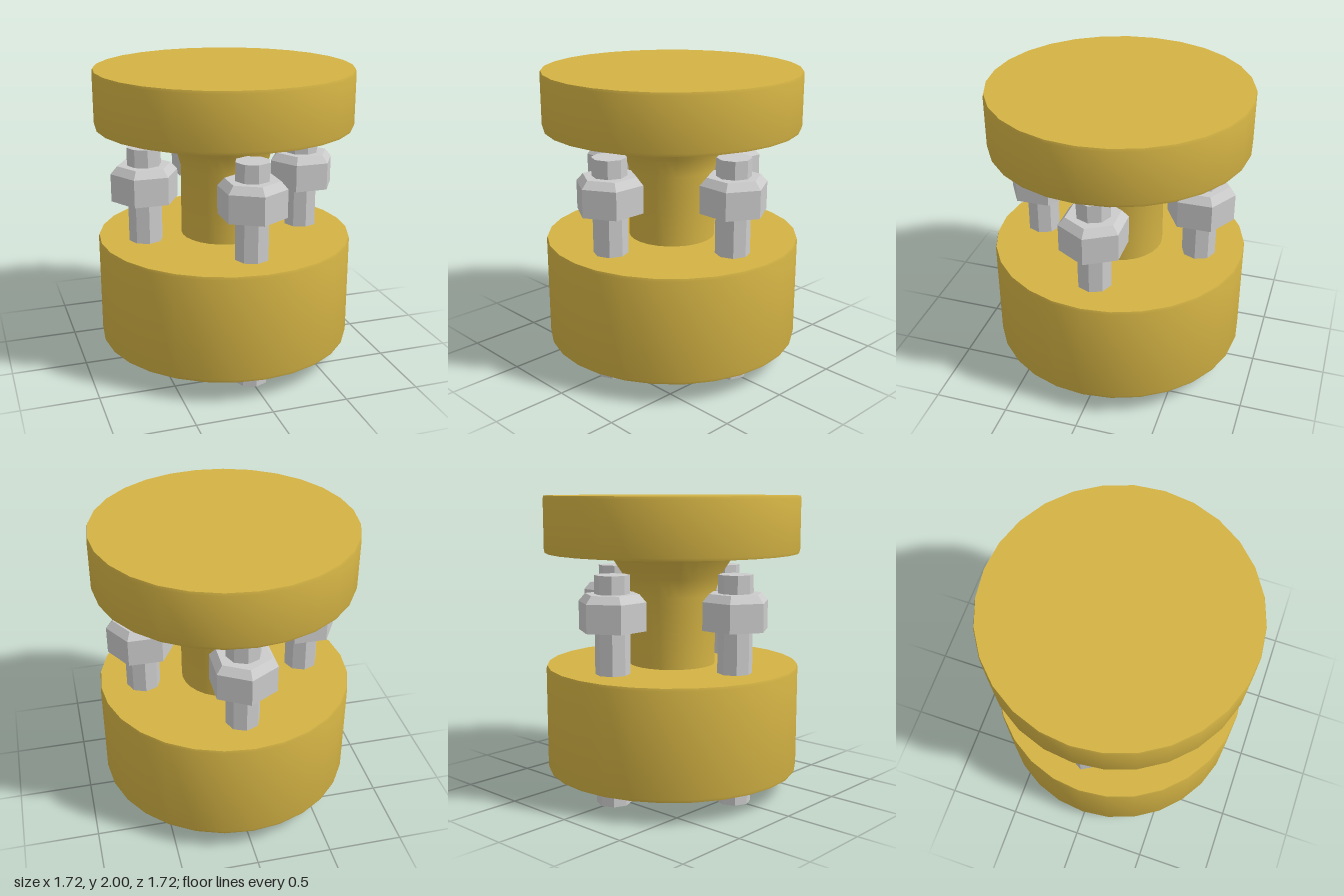
import * as THREE from 'three';
import { toCreasedNormals } from 'three/addons/utils/BufferGeometryUtils.js';

const SEGMENTS = 28;

export function createModel() {
  const model = new THREE.Group();
  const brass = new THREE.MeshStandardMaterial({ color: 0xd4b344 });
  const steel = new THREE.MeshStandardMaterial({ color: 0xcccccc, flatShading: true });

  // Round part turned from a radius/height profile, listed bottom to top
  function turned(name, profile) {
    const points = profile.map(([r, y]) => new THREE.Vector2(r, y));
    const geometry = toCreasedNormals(new THREE.LatheGeometry(points, SEGMENTS), 0.6);
    const mesh = new THREE.Mesh(geometry, brass);
    mesh.name = name;
    model.add(mesh);
  }

  // Solid disc with slightly eased rims
  function disc(name, radius, bottom, top) {
    const inset = 0.005, ease = 0.018;
    turned(name, [
      [0, bottom], [radius - inset, bottom], [radius, bottom + ease],
      [radius, top - ease], [radius - inset, top], [0, top],
    ]);
  }

  disc('baseDisc', 0.86, 0.15, 0.865);
  disc('topDisc', 0.86, 1.625, 2);
  turned('flaredNeck', [[0.293, 0.86], [0.293, 1.34], [0.325, 1.46], [0.437, 1.63]]);

  // Faceted steel piece between two heights
  function prism(name, topRadius, bottomRadius, bottom, top, sides, openBottom = false) {
    const geometry = new THREE.CylinderGeometry(topRadius, bottomRadius, top - bottom, sides, 1, openBottom);
    const mesh = new THREE.Mesh(geometry, steel);
    mesh.name = name;
    mesh.position.y = (bottom + top) / 2;
    return mesh;
  }

  // Four bolts through the base, each with a chamfered hex nut, one corner facing outward
  const bolts = new THREE.Group();
  bolts.name = 'bolts';
  bolts.position.x = 0.006;
  for (let i = 0; i < 4; i++) {
    const angle = i * Math.PI / 2;
    const bolt = new THREE.Group();
    bolt.name = `bolt${i + 1}`;
    bolt.add(
      prism('boltShaft', 0.114, 0.114, 0, 1.505, 8),
      prism('nutBody', 0.225, 0.225, 1.15, 1.335, 6),
      prism('nutChamfer', 0.18, 0.225, 1.335, 1.385, 6),
    );
    bolt.position.set(0.558 * Math.sin(angle), 0, 0.558 * Math.cos(angle));
    bolt.rotation.y = angle;
    bolts.add(bolt);
  }
  model.add(bolts);

  return model;
}
